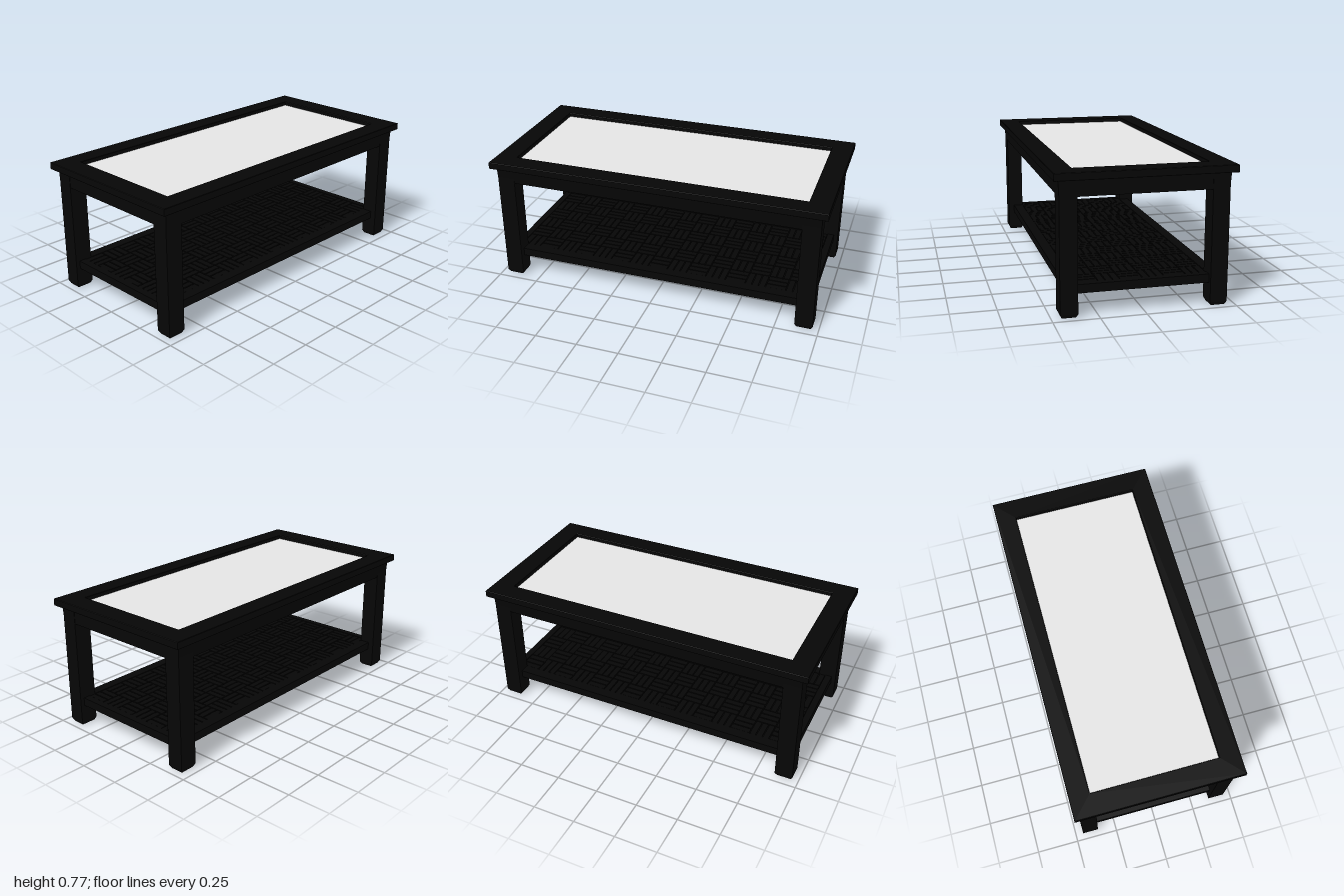
import * as THREE from 'three';

export function createModel() {
  const table = new THREE.Group();
  table.name = 'coffeeTable';
  const material = (name, color) => {
    const m = new THREE.MeshStandardMaterial({ color });
    m.name = name;
    return m;
  };
  const wood = material('blackWood', 0x060606);
  const glassTop = material('paleGlass', 0xe6e6e6);
  const glassUnder = material('greyGlass', 0xb9b9b9);

  const add = (name, geo, mat, x, y, z, parent = table) => {
    const mesh = new THREE.Mesh(geo, mat);
    mesh.name = name;
    mesh.position.set(x, y, z);
    parent.add(mesh);
    return mesh;
  };
  const box = (name, w, h, d, x, y, z, parent = table, mat = wood) =>
    add(name, new THREE.BoxGeometry(w, h, d), mat, x, y, z, parent);

  // Tabletop frame: a flat border around the glass opening
  const rect = (P, x, z) => new P([[-x, -z], [x, -z], [x, z], [-x, z]].map(p => new THREE.Vector2(...p)));
  const border = rect(THREE.Shape, 0.998, 0.485);
  border.holes.push(rect(THREE.Path, 0.876, 0.371));
  const topGeo = new THREE.ExtrudeGeometry(border, {
    depth: 0.037, bevelEnabled: true, bevelThickness: 0.002, bevelSize: 0.002, bevelSegments: 1,
  });
  topGeo.rotateX(-Math.PI / 2);
  add('topFrame', topGeo, wood, 0, 0.73, 0);

  // Glass set below the frame's upper face, paler above than below
  box('glassPane', 1.752, 0.005, 0.742, 0, 0.7435, 0, table, glassTop);
  box('glassUnderside', 1.752, 0.005, 0.742, 0, 0.7385, 0, table, glassUnder);

  // Tapered foot, a unit square scaled to the leg
  const footGeo = new THREE.CylinderGeometry(Math.SQRT1_2, Math.SQRT1_2 * 0.8, 0.02, 4, 1)
    .toNonIndexed().rotateY(Math.PI / 4);
  footGeo.scale(0.105, 1, 0.095);
  footGeo.computeVertexNormals();

  // Legs with chamfered feet
  for (const sx of [-1, 1]) for (const sz of [-1, 1]) {
    const leg = new THREE.Group();
    leg.name = 'leg';
    leg.position.set(sx * 0.9125, 0, sz * 0.4075);
    table.add(leg);
    box('legPost', 0.105, 0.71, 0.095, 0, 0.375, 0, leg);
    add('foot', footGeo, wood, 0, 0.01, 0, leg);
  }

  // Long aprons: outer face flares slightly towards the top
  const apronProfile = new THREE.Shape([[0.38, 0.638], [0.453, 0.638], [0.46, 0.73], [0.38, 0.73]]
    .map(p => new THREE.Vector2(...p)));
  const apronGeo = new THREE.ExtrudeGeometry(apronProfile, { depth: 1.93, bevelEnabled: false });
  apronGeo.translate(0, 0, -0.965);
  for (const s of [-1, 1]) {
    add('longApron', apronGeo, wood, 0, 0, 0).rotation.y = s * Math.PI / 2;
    box('endApron', 0.068, 0.092, 0.74, s * 0.929, 0.684, 0);
  }

  // Lower shelf: solid panel running into the legs, with a raised rim
  const shelf = new THREE.Group();
  shelf.name = 'lowerShelf';
  table.add(shelf);
  box('shelfPanel', 1.88, 0.04, 0.84, 0, 0.143, 0, shelf);
  for (const s of [-1, 1]) {
    box('longRim', 1.88, 0.008, 0.06, 0, 0.167, s * 0.39, shelf);
    box('endRim', 0.04, 0.008, 0.72, s * 0.92, 0.167, 0, shelf);
  }

  // Basket weave: square cells of three slats in alternating directions
  const cols = 15, rows = 6, cell = 0.12, slats = 3;
  const slatLong = cell * 0.96, slatThin = cell / slats * 0.84;
  for (let i = 0; i < cols; i++) for (let j = 0; j < rows; j++) {
    const along = (i + j) % 2 === 0;
    const cx = (i - (cols - 1) / 2) * cell, cz = (j - (rows - 1) / 2) * cell;
    for (let k = 0; k < slats; k++) {
      const off = (k - 1) * cell / slats;
      box('weaveSlat', along ? slatLong : slatThin, 0.006, along ? slatThin : slatLong,
        cx + (along ? 0 : off), 0.166, cz + (along ? off : 0), shelf);
    }
  }
  return table;
}
